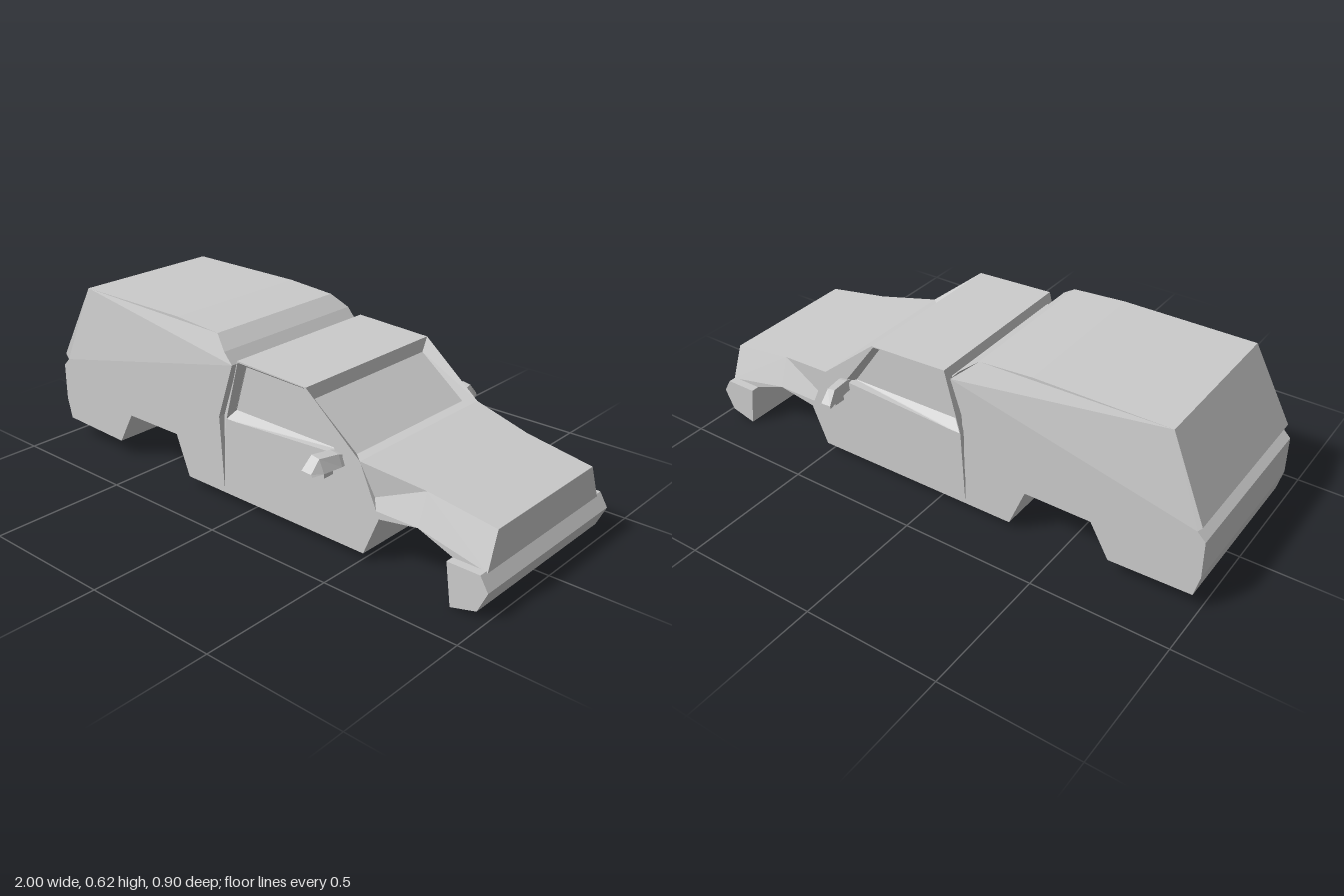
import * as THREE from 'three';

const W = 0.322; // half width of the body
const solid = new THREE.MeshStandardMaterial({ color: 0xcccccc, flatShading: true });
const sheet = new THREE.MeshStandardMaterial({ color: 0xcccccc, flatShading: true, side: THREE.DoubleSide });

// Side profile extruded across the car; halfWidth(x, y) sets the z of each corner.
function profile(name, points, halfWidth) {
  const shape = new THREE.Shape(points.map(([x, y]) => new THREE.Vector2(x, y)));
  const geo = new THREE.ExtrudeGeometry(shape, { depth: 1, bevelEnabled: false });
  const p = geo.attributes.position;
  for (let i = 0; i < p.count; i++) {
    p.setZ(i, (p.getZ(i) > 0.5 ? 1 : -1) * halfWidth(p.getX(i), p.getY(i)));
  }
  geo.computeVertexNormals();
  const mesh = new THREE.Mesh(geo, solid);
  mesh.name = name;
  return mesh;
}

// Joins successive four-cornered loops with quads and closes the last one.
function bands(name, loops, side = 1) {
  const v = [];
  const quad = (a, b, c, d) => {
    for (const [x, y, z] of [a, b, c, a, c, d]) v.push(x, y, z * side);
  };
  for (let k = 0; k + 1 < loops.length; k++) {
    for (let i = 0; i < 4; i++) {
      const j = (i + 1) % 4;
      quad(loops[k][i], loops[k][j], loops[k + 1][j], loops[k + 1][i]);
    }
  }
  quad(...loops[loops.length - 1]);
  const geo = new THREE.BufferGeometry();
  geo.setAttribute('position', new THREE.Float32BufferAttribute(v, 3));
  geo.computeVertexNormals();
  const mesh = new THREE.Mesh(geo, sheet);
  mesh.name = name;
  return mesh;
}

const atZ = (z, pts) => pts.map(([x, y]) => [x, y, z]);
// Symmetric four-cornered loop from two side points: a upper, b lower.
const across = ([ax, ay], [bx, by], z) => [[ax, ay, z], [bx, by, z], [bx, by, -z], [ax, ay, -z]];

export function createModel() {
  const car = new THREE.Group();
  car.name = 'utilityVehicle';

  // Lower body with wheel arches and the seam behind the doors
  car.add(profile('lowerBody', [
    [-0.98, 0.07], [-0.68, 0.06], [-0.61, 0.185], [-0.36, 0.185], [-0.3, 0.035],
    [0.51, 0.03], [0.57, 0.175], [0.49, 0.35], [-0.102, 0.32], [-0.118, 0.05],
    [-0.135, 0.32], [-0.97, 0.32], [-1, 0.29], [-1, 0.15],
  ], () => W));

  // Rear canopy, leaning inward to its roof
  car.add(profile('canopy', [
    [-0.97, 0.32], [-0.135, 0.32], [-0.065, 0.525], [-0.1, 0.565], [-0.16, 0.61],
    [-0.36, 0.624], [-0.85, 0.625], [-0.985, 0.34],
  ], (x, y) => (y > 0.6 ? 0.293 : W)));

  // Floor of the V-shaped groove between cab and canopy
  car.add(profile('seamFiller', [
    [-0.122, 0.06], [-0.114, 0.06], [-0.09, 0.32], [-0.03, 0.515], [-0.08, 0.515], [-0.15, 0.32],
  ], (x, y) => (y < 0.1 ? 0.32 : 0.292)));

  // Nose with a narrowing bonnet
  car.add(profile('nose', [
    [0.45, 0.2], [0.57, 0.175], [0.72, 0.2], [0.85, 0.15], [0.975, 0.145],
    [0.972, 0.27], [0.72, 0.31], [0.49, 0.35], [0.45, 0.35],
  ], (x, y) => (x > 0.95 && y > 0.2 ? 0.275 : x > 0.7 && y > 0.25 ? 0.282 : W)));

  car.add(profile('frontBumper', [
    [0.87, 0], [0.965, 0.025], [1, 0.1], [0.97, 0.15], [0.85, 0.15],
  ], () => 0.353));

  // Cab roof, rear wall and recessed windscreen
  const roofRear = [-0.04, 0.548], roofFront = [0.265, 0.535];
  const cowl = [0.49, 0.35], beltRear = [-0.102, 0.32];
  car.add(bands('cabRoof', [across(roofRear, roofFront, W)]));
  car.add(bands('cabRearWall', [across(roofRear, beltRear, W)]));
  car.add(bands('windscreen', [
    across(roofFront, cowl, W),
    across([0.272, 0.488], [0.45, 0.35], 0.288),
  ]));

  for (const side of [1, -1]) {
    // Door frame and recessed side window
    car.add(bands(side > 0 ? 'leftWindow' : 'rightWindow', [
      atZ(W, [beltRear, cowl, roofFront, roofRear]),
      atZ(W, [[-0.098, 0.322], [0.41, 0.328], [0.258, 0.532], [-0.038, 0.542]]),
      atZ(0.29, [[-0.08, 0.35], [0.372, 0.345], [0.255, 0.512], [-0.028, 0.52]]),
    ], side));

    // Wing mirror: tapered housing with a small foot
    const mirror = new THREE.Group();
    mirror.name = side > 0 ? 'leftMirror' : 'rightMirror';
    mirror.add(bands('mirrorHousing', [
      atZ(0.3, [[0.38, 0.315], [0.43, 0.315], [0.425, 0.345], [0.385, 0.35]]),
      atZ(0.335, [[0.378, 0.315], [0.43, 0.315], [0.415, 0.355], [0.38, 0.36]]),
      atZ(0.41, [[0.365, 0.315], [0.42, 0.315], [0.4, 0.36], [0.368, 0.366]]),
      atZ(0.448, [[0.358, 0.312], [0.405, 0.312], [0.4, 0.32], [0.36, 0.322]]),
    ], side));
    const foot = new THREE.Mesh(new THREE.BoxGeometry(0.04, 0.022, 0.045), solid);
    foot.name = 'mirrorFoot';
    foot.position.set(0.395, 0.307, side * 0.383);
    mirror.add(foot);
    car.add(mirror);
  }
  return car;
}
